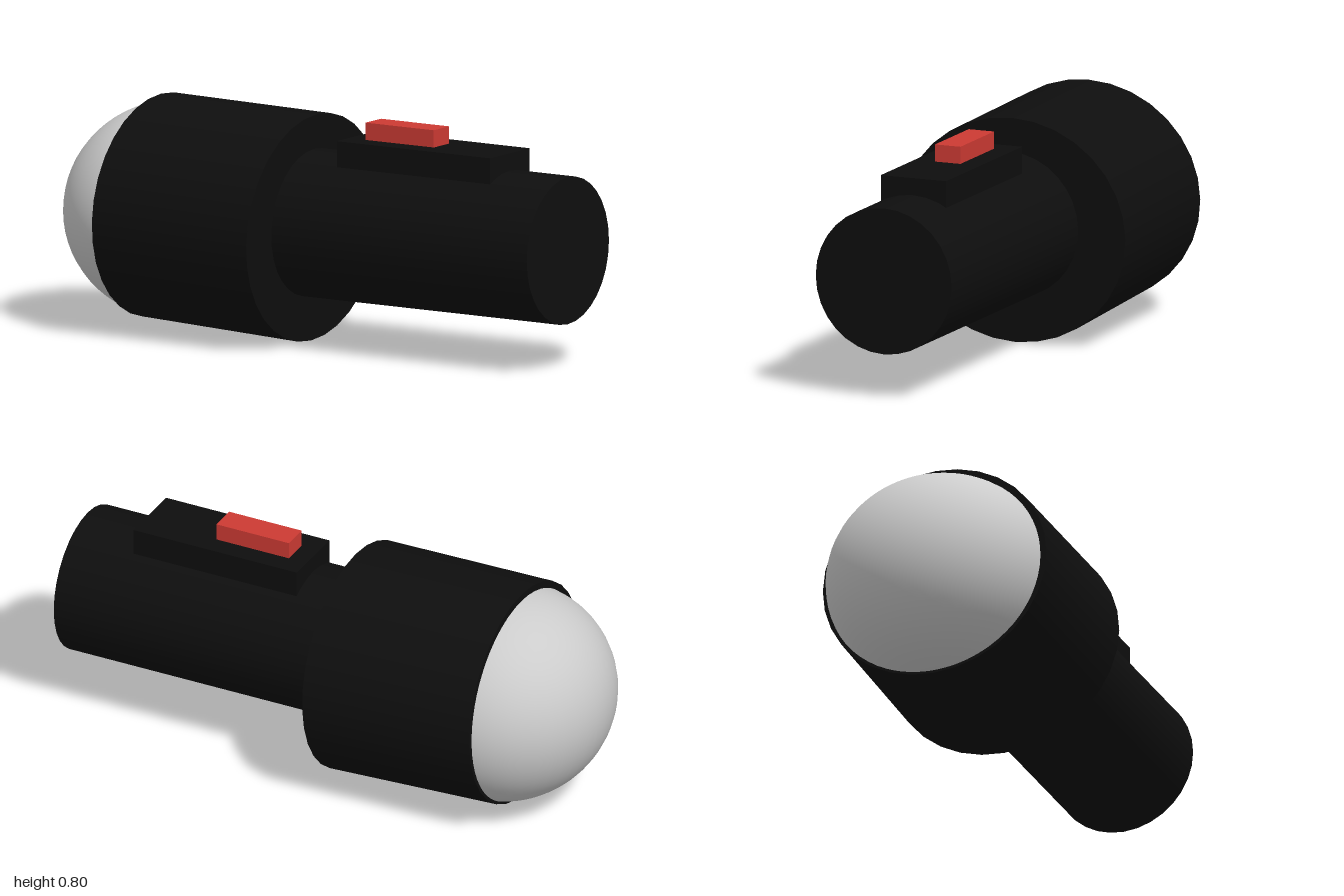
import * as THREE from 'three';

const material = (color) => new THREE.MeshStandardMaterial({ color });

export function createModel() {
  const model = new THREE.Group();
  const black = material(0x0e0e0e);

  const add = (name, geometry, mat, x, y, z) => {
    const mesh = new THREE.Mesh(geometry, mat);
    mesh.name = name;
    mesh.position.set(x, y, z);
    model.add(mesh);
    return mesh;
  };

  // Cylinder lying along x: rNeg is the radius at the -x end, rPos at the +x end
  const barrel = (rNeg, rPos, length) =>
    new THREE.CylinderGeometry(rNeg, rPos, length, 32).rotateZ(Math.PI / 2);

  // Wide head, slightly oval, flared and tilted
  const head = add('head', barrel(0.387, 0.395, 0.64).scale(1, 1, 1.07), black, -0.37, 0.41, -0.003);
  head.rotation.z = -0.03;

  // Domed lens bulging out of the head
  const lens = add('lens', new THREE.SphereGeometry(1, 48, 32), material(0xcccccc), -0.62, 0.41, -0.005);
  lens.scale.set(0.38, 0.376, 0.402);

  // Grip
  add('handle', barrel(0.256, 0.256, 1.2), black, 0.4, 0.42, 0.008);

  // Switch on top of the grip
  add('switchPlate', new THREE.BoxGeometry(0.63, 0.1, 0.245), black, 0.445, 0.686, 0.005);
  add('switchButton', new THREE.BoxGeometry(0.28, 0.08, 0.096), material(0xcc3a33), 0.338, 0.756, 0.004);

  return model;
}
